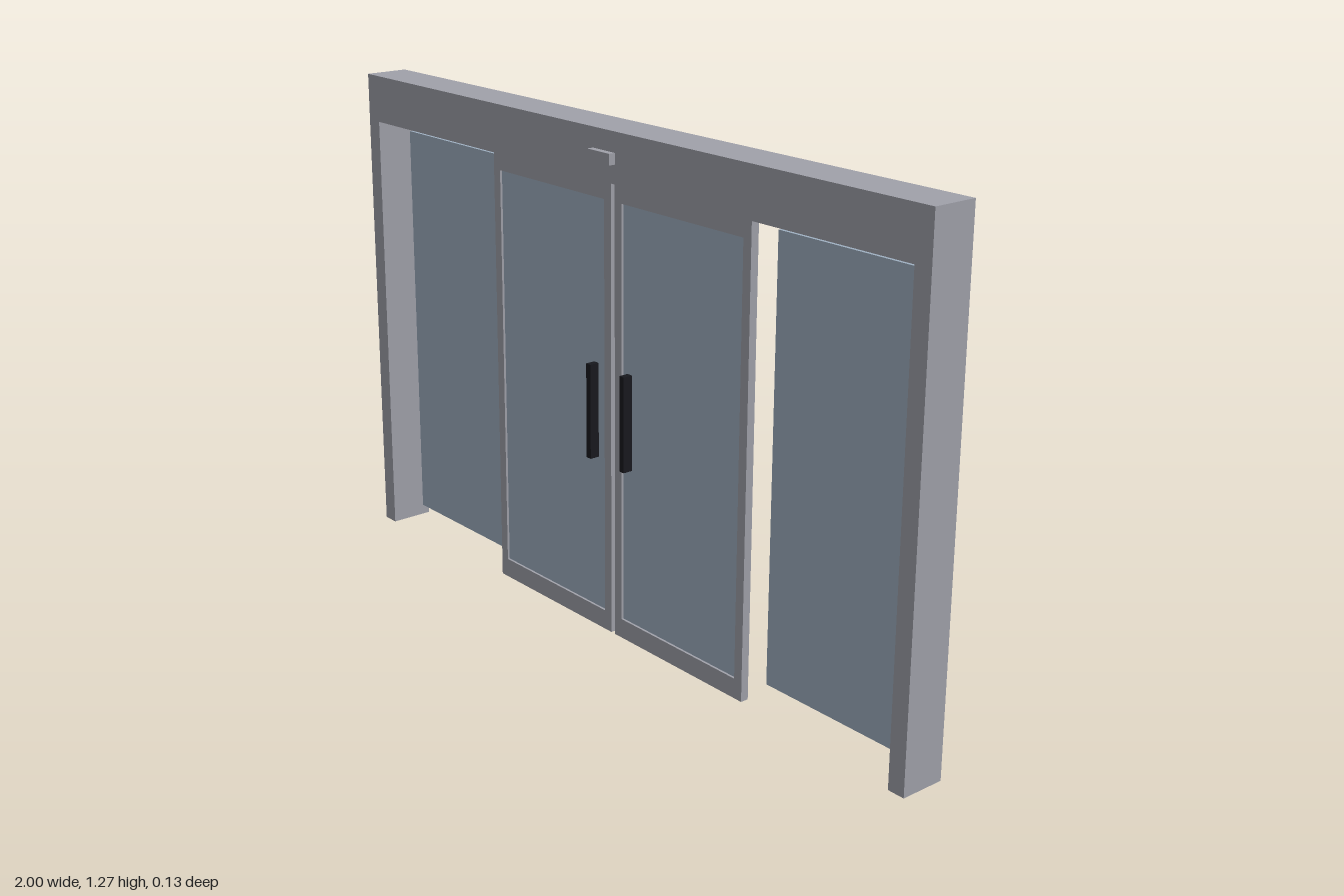
import * as THREE from 'three';

const aluminium = new THREE.MeshStandardMaterial({ name: 'aluminium', color: 0xa0a1aa });
const glass = new THREE.MeshStandardMaterial({ name: 'glass', color: 0x9fb0c2 });
const black = new THREE.MeshStandardMaterial({ name: 'black handle', color: 0x18191e });

// Box given by its minimum and maximum corners
function box(name, material, [x0, y0, z0], [x1, y1, z1]) {
  const mesh = new THREE.Mesh(new THREE.BoxGeometry(x1 - x0, y1 - y0, z1 - z0), material);
  mesh.name = name;
  mesh.position.set((x0 + x1) / 2, (y0 + y1) / 2, (z0 + z1) / 2);
  return mesh;
}

// Flat outline pushed from z0 to z1
function extrude(name, shape, z0, z1) {
  const geometry = new THREE.ExtrudeGeometry(shape, { depth: z1 - z0, bevelEnabled: false });
  const mesh = new THREE.Mesh(geometry, aluminium);
  mesh.name = name;
  mesh.position.z = z0;
  return mesh;
}

const outline = (points) => points.map(([x, y]) => new THREE.Vector2(x, y));
const rect = (x0, y0, x1, y1) => outline([[x0, y0], [x1, y0], [x1, y1], [x0, y1]]);

// Sliding door leaf: frame, recessed glass and pull handle
function slidingDoor(side) {
  const door = new THREE.Group();
  door.name = side > 0 ? 'leftSlidingDoor' : 'rightSlidingDoor';
  const span = (a, b) => (side > 0 ? [a, b] : [-b, -a]);

  const [f0, f1] = span(0.007, 0.469);
  const [g0, g1] = span(0.032, 0.444);
  const leaf = new THREE.Shape(rect(f0, 0, f1, 1.148));
  leaf.holes.push(new THREE.Path(rect(g0, 0.05, g1, 1.098)));
  door.add(extrude('doorFrame', leaf, 0.002, 0.023));
  door.add(box('doorGlass', glass, [g0, 0.05, 0.008], [g1, 1.098, 0.017]));

  const [h0, h1] = span(0.055, 0.071);
  door.add(box('doorHandle', black, [h0, 0.453, 0.023], [h1, 0.693, 0.048]));
  return door;
}

export function createModel() {
  const model = new THREE.Group();
  model.name = 'slidingDoorEntrance';

  // Header and side posts in one portal
  const portal = new THREE.Shape(outline([
    [-1, 0], [-0.955, 0], [-0.955, 1.148], [0.955, 1.148],
    [0.955, 0], [1, 0], [1, 1.27], [-1, 1.27],
  ]));
  model.add(extrude('portalFrame', portal, -0.066, 0.049));

  // Motion sensor on the header
  model.add(box('motionSensor', aluminium, [-0.04, 1.194, 0.049], [0.04, 1.221, 0.066]));

  // Door leaves and fixed glass panels on both sides
  for (const side of [-1, 1]) {
    model.add(slidingDoor(side));
    const [x0, x1] = side > 0 ? [0.489, 0.94] : [-0.94, -0.489];
    model.add(box(side > 0 ? 'leftFixedPanel' : 'rightFixedPanel', glass,
      [x0, 0.034, -0.047], [x1, 1.115, -0.037]));
  }
  return model;
}
